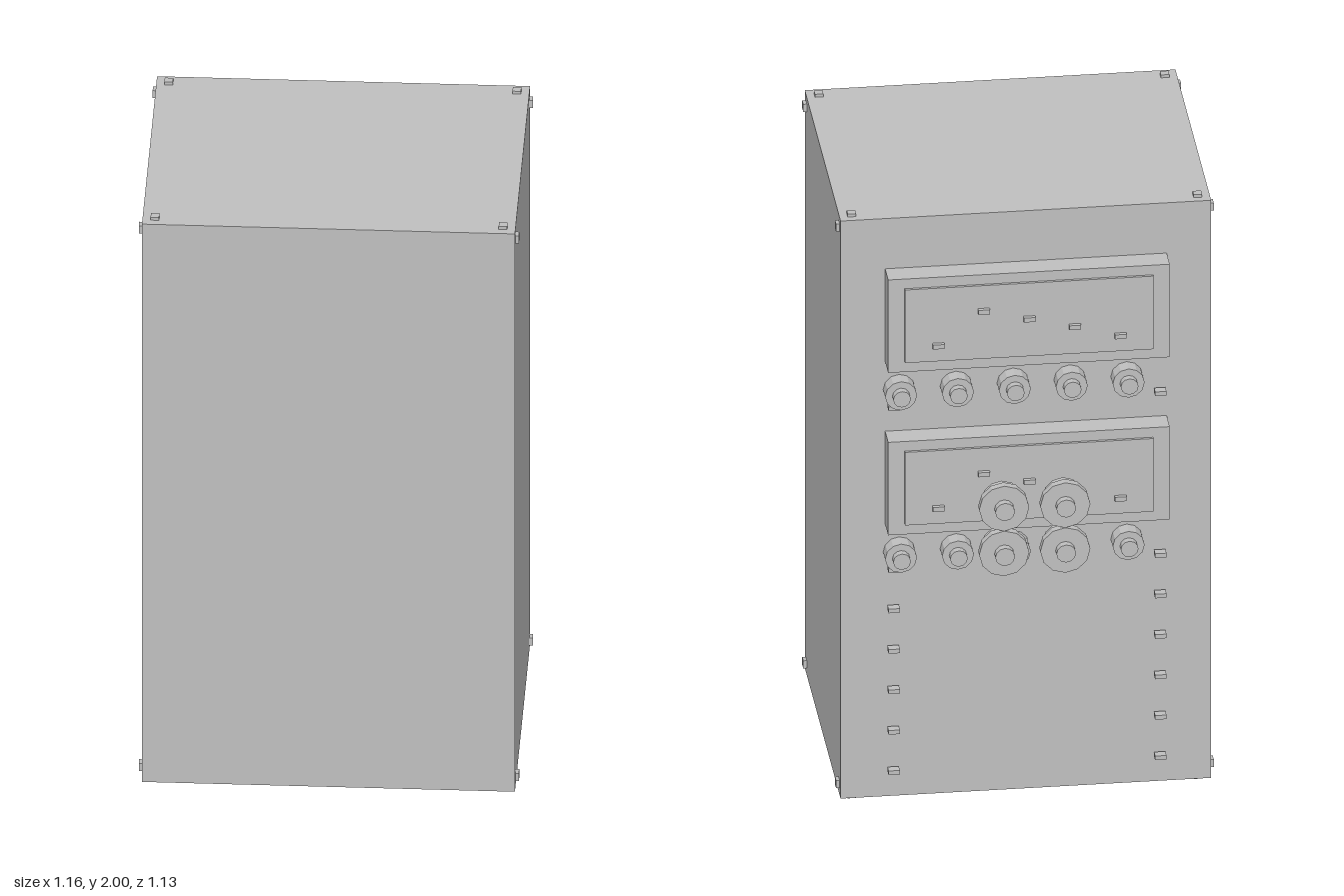
import * as THREE from 'three';

export function createModel() {
  const model = new THREE.Group();
  model.name = 'equipmentCabinet';
  const grey = new THREE.MeshStandardMaterial({ color: 0xc0c0c0 });
  grey.name = 'plain grey';
  const BACK = -0.327, FRONT = 0.562;

  // Box given by its limits on each axis
  function box(name, [x0, x1], [y0, y1], [z0, z1], parent = model) {
    const mesh = new THREE.Mesh(new THREE.BoxGeometry(x1 - x0, y1 - y0, z1 - z0), grey);
    mesh.position.set((x0 + x1) / 2, (y0 + y1) / 2, (z0 + z1) / 2);
    mesh.name = name;
    parent.add(mesh);
  }
  const around = (c, size) => [c - size / 2, c + size / 2];

  // Knob pointing to the back, made of stacked discs [name, radius, nearZ, farZ]
  function knob(name, x, y, discs) {
    const group = new THREE.Group();
    group.name = name;
    group.position.set(x, y, 0);
    for (const [part, radius, near, far] of discs) {
      const g = new THREE.CylinderGeometry(radius, radius, near - far, 12).toNonIndexed();
      g.computeVertexNormals();
      g.rotateX(-Math.PI / 2);
      const mesh = new THREE.Mesh(g, grey);
      mesh.position.z = (near + far) / 2;
      mesh.name = part;
      group.add(mesh);
    }
    model.add(group);
  }

  // Main case
  box('case', [-0.57, 0.57], [0.013, 1.99], [BACK, FRONT]);

  // Small corner studs on the top, bottom and both sides
  for (const sx of [-1, 1]) {
    for (const z of [-0.29, 0.524]) {
      for (const y of [0.0065, 1.995]) {
        box('cornerStud', around(sx * 0.532, 0.026), around(y, y < 1 ? 0.013 : 0.01), around(z, 0.026));
      }
      for (const y of [0.05, 1.955]) {
        box('sideStud', around(sx * 0.575, 0.012), around(y, 0.026), around(z, 0.026));
      }
    }
  }

  // Two control panels, each with a raised plate, five sliders and a row of knobs
  const sliderHeights = [1.59, 1.7, 1.665, 1.63, 1.59];
  for (const drop of [0, 0.556]) {
    const panel = new THREE.Group();
    panel.name = 'controlPanel';
    panel.position.y = -drop;
    model.add(panel);
    box('panelHousing', [-0.433, 0.433], [1.5, 1.818], [-0.403, BACK], panel);
    box('panelPlate', [-0.382, 0.382], [1.535, 1.785], [-0.412, -0.403], panel);
    sliderHeights.forEach((y, i) =>
      box('slider', around(0.28 - 0.14 * i, 0.036), around(y, 0.015), [-0.425, -0.412], panel));
    for (let i = 0; i < 5; i++) {
      knob('smallKnob', 0.39 - 0.175 * i, 1.405 - drop, [
        ['knobBody', 0.049, BACK, -0.377],
        ['knobCap', 0.027, -0.377, -0.401],
      ]);
    }
  }

  // Four large knobs standing off the lower panel
  for (const x of [-0.095, 0.093]) {
    for (const y of [1.083, 0.929]) {
      knob('largeKnob', x, y, [
        ['knobBase', 0.062, -0.473, -0.514],
        ['knobFlange', 0.077, -0.514, -0.54],
        ['knobCap', 0.03, -0.54, -0.564],
      ]);
    }
  }

  // Columns of small pegs down both edges of the back
  for (const x of [-0.41, 0.41]) {
    for (let i = 0; i < 11; i++) {
      box('backPeg', around(x, 0.035), around(0.112 + 0.1385 * i, 0.014), [-0.368, -0.34]);
    }
  }
  return model;
}
